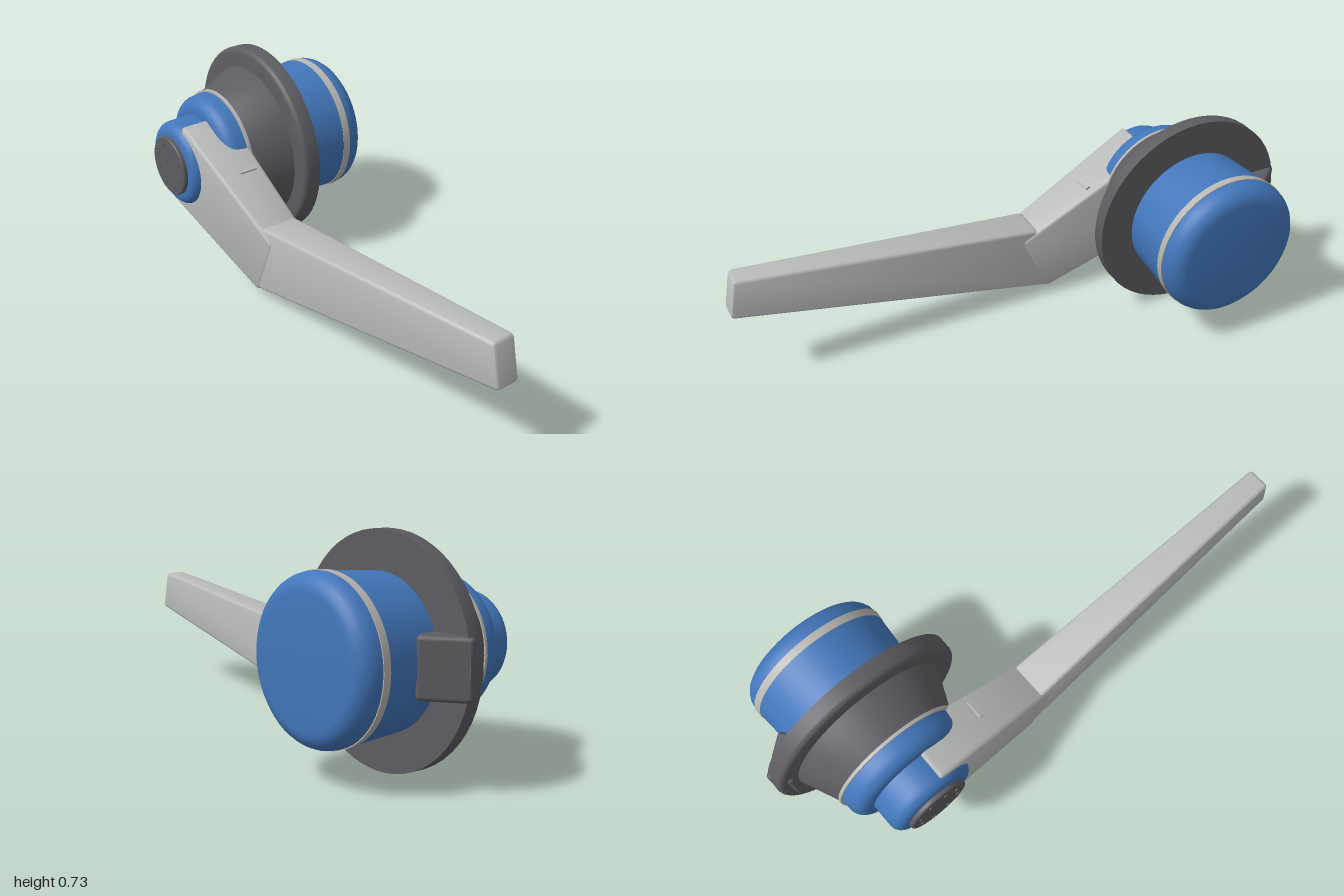
import * as THREE from 'three';
import { toCreasedNormals } from 'three/addons/utils/BufferGeometryUtils.js';
import { RoundedBoxGeometry } from 'three/addons/geometries/RoundedBoxGeometry.js';

const mat = (name, color) => {
  const m = new THREE.MeshStandardMaterial({ color });
  m.name = name;
  return m;
};

export function createModel() {
  const blue = mat('blue', 0x4276ba);
  const dark = mat('dark grey', 0x5d5c61);
  const light = mat('light grey', 0xbabcbb);
  const trim = mat('trim grey', 0xb8b6b1);
  const root = new THREE.Group();
  root.name = 'leverHandle';

  function add(parent, name, geometry, material) {
    const m = new THREE.Mesh(geometry, material);
    m.name = name;
    parent.add(m);
    return m;
  }

  // Quarter-round profile between two [radius, z] points; outFirst bulges along the radius first
  function round(r0, z0, r1, z1, outFirst) {
    const pts = [];
    for (let i = 0; i <= 6; i++) {
      const a = (i / 6) * Math.PI / 2, s = Math.sin(a), c = 1 - Math.cos(a);
      pts.push(outFirst ? [r0 + (r1 - r0) * s, z0 + (z1 - z0) * c]
        : [r0 + (r1 - r0) * c, z0 + (z1 - z0) * s]);
    }
    return pts;
  }

  // Everything on the hub is turned about the z axis
  const hub = new THREE.Group();
  hub.name = 'hub';
  hub.position.set(-0.63, 0.367, 0);
  root.add(hub);
  function turned(name, profile, material, segments = 56) {
    const g = new THREE.LatheGeometry(profile.map(([r, z]) => new THREE.Vector2(r, z)), segments);
    g.rotateX(Math.PI / 2);
    return add(hub, name, toCreasedNormals(g, 0.5), material);
  }

  turned('rearHousing', [[0, -0.36], ...round(0.2, -0.36, 0.258, -0.3, true),
    [0.257, -0.262], [0.242, -0.06]], blue);
  turned('rearBand', [[0.25, -0.289], [0.261, -0.289], [0.259, -0.262], [0.25, -0.262]], trim);
  turned('flange', [[0.2, -0.068], [0.366, -0.068], ...round(0.366, -0.027, 0.344, -0.005, false),
    [0.25, -0.005]], dark);
  turned('frontCone', [[0.294, -0.01], [0.293, -0.005], [0.232, 0.133], [0.18, 0.133]], dark);
  turned('frontBand', [[0.2, 0.132], [0.237, 0.132], [0.236, 0.143], [0.2, 0.143]], trim);
  turned('shoulder', [[0.229, 0.14], ...round(0.226, 0.172, 0.176, 0.222, false),
    [0.14, 0.222]], blue);
  turned('spindle', [[0.161, 0.2], ...round(0.16, 0.3, 0.12, 0.341, false), [0, 0.341]], blue);
  turned('frontCap', [[0.112, 0.335], [0.112, 0.353], [0.108, 0.357], [0, 0.357]], dark);
  for (let i = 0; i < 8; i++) {
    const a = (i + 0.5) * Math.PI / 4;
    const g = new THREE.CylinderGeometry(0.007, 0.007, 0.008, 10).rotateX(Math.PI / 2);
    add(hub, 'capBolt', g, dark).position.set(0.08 * Math.cos(a), 0.08 * Math.sin(a), 0.357);
  }

  // Tapered arm lofted from a start and an end section, with softened edges
  function arm(name, s, e, r) {
    const ring = (t, inset) => {
      const mix = (k) => new THREE.Vector2(...s[k]).lerp(new THREE.Vector2(...e[k]), t);
      const top = mix('top'), bottom = mix('bottom'), z = mix('z');
      const up = top.clone().sub(bottom), h = up.length() / 2, w = (z.y - z.x) / 2;
      up.normalize();
      const mid = top.add(bottom).multiplyScalar(0.5), zc = (z.x + z.y) / 2;
      const out = [];
      for (let q = 0; q < 4; q++) {
        const sv = q === 0 || q === 3 ? 1 : -1, sz = q < 2 ? 1 : -1;
        for (let k = 0; k < 4; k++) {
          const a = (q + k / 3) * Math.PI / 2;
          const v = sv * (h - r) + (r - inset) * Math.cos(a);
          out.push(mid.x + up.x * v, mid.y + up.y * v, zc + sz * (w - r) + (r - inset) * Math.sin(a));
        }
      }
      return out;
    };
    const len = Math.hypot(e.top[0] - s.top[0], e.top[1] - s.top[1]);
    const f = r / len, n = 16, index = [];
    const rings = [ring(0, r * 0.95), ring(f * 0.3, r * 0.3), ring(f, 0),
      ring(1 - f, 0), ring(1 - f * 0.3, r * 0.3), ring(1, r * 0.95)];
    const last = (rings.length - 1) * n;
    for (let i = 0; i < rings.length - 1; i++) {
      for (let j = 0; j < n; j++) {
        const a = i * n + j, b = i * n + (j + 1) % n;
        index.push(a, b, b + n, a, b + n, a + n);
      }
    }
    for (let j = 1; j < n - 1; j++) index.push(0, j + 1, j, last, last + j, last + j + 1);
    const g = new THREE.BufferGeometry();
    g.setAttribute('position', new THREE.Float32BufferAttribute(rings.flat(), 3));
    g.setIndex(index);
    return add(root, name, toCreasedNormals(g, 0.7), light);
  }

  arm('innerLever',
    { top: [-0.575, 0.538], bottom: [-0.695, 0.207], z: [0.126, 0.323] },
    { top: [-0.06, 0.272], bottom: [-0.16, 0.035], z: [0.145, 0.29] }, 0.013);
  arm('outerLever',
    { top: [-0.125, 0.307], bottom: [-0.18, 0.038], z: [0.147, 0.287] },
    { top: [0.968, 0.443], bottom: [1, 0.296], z: [0.175, 0.258] }, 0.012);

  // Small tab on the upper edge of the inner lever
  const tab = add(root, 'leverTab', new THREE.BoxGeometry(0.018, 0.014, 0.066), light);
  tab.position.set(-0.34, 0.418, 0.197);
  tab.rotation.z = -0.48;

  // Angled clamp block through the flange rim, with two screws on its outer face
  const clamp = new THREE.Group();
  clamp.name = 'clamp';
  clamp.position.set(-0.91, 0.367, -0.075);
  clamp.rotation.y = 0.675;
  root.add(clamp);
  add(clamp, 'clampBlock', new RoundedBoxGeometry(0.16, 0.185, 0.09, 3, 0.014), dark);
  for (const y of [-0.04, 0.04]) {
    const g = new THREE.CylinderGeometry(0.007, 0.007, 0.006, 10).rotateX(Math.PI / 2);
    add(clamp, 'clampScrew', g, dark).position.set(-0.01, y, -0.046);
  }
  return root;
}
